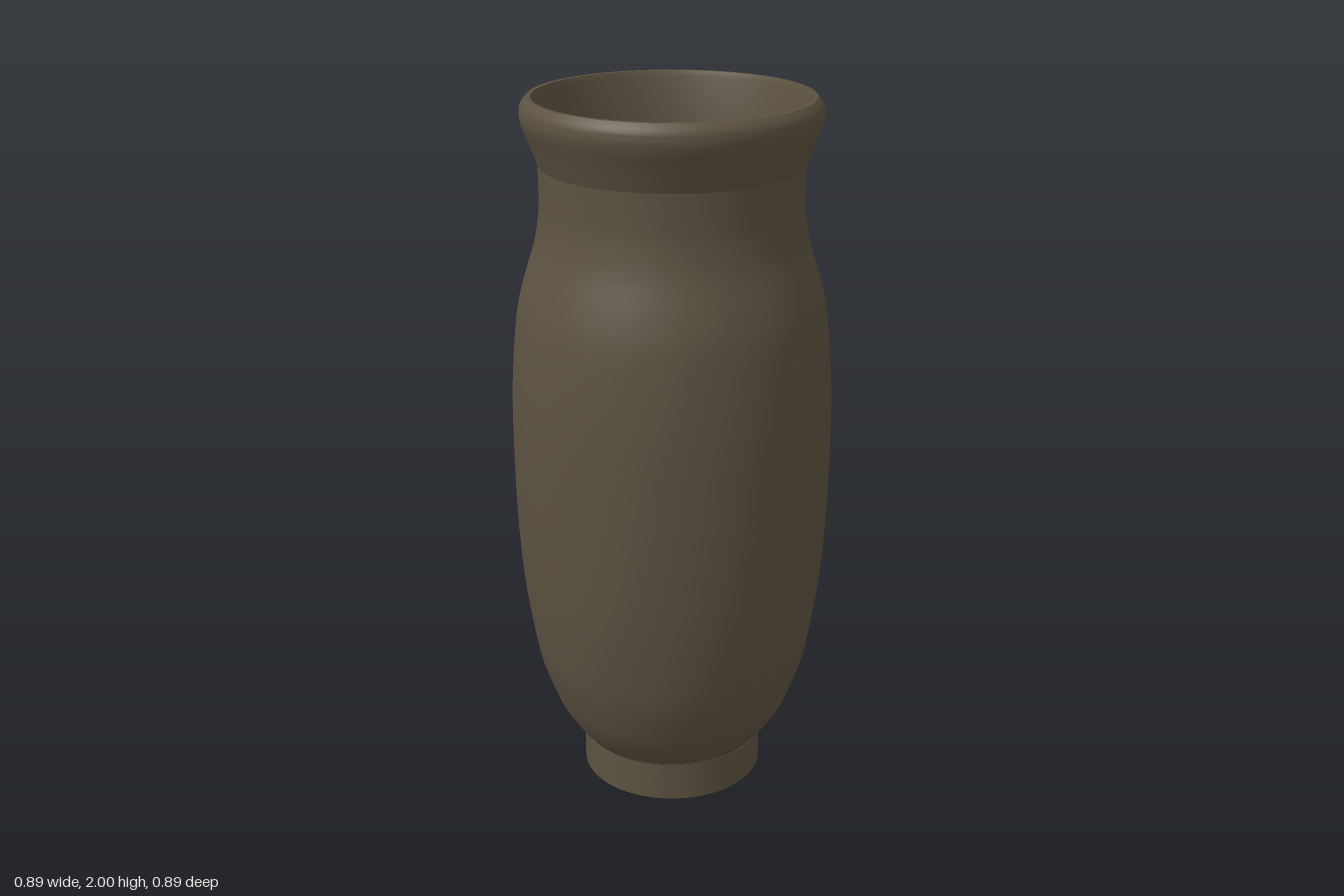
import * as THREE from 'three';
import { toCreasedNormals } from 'three/addons/utils/BufferGeometryUtils.js';

const SEGMENTS = 72;
const v = ([r, y]) => new THREE.Vector2(r, y);
const smooth = (pts, n) => new THREE.SplineCurve(pts.map(v)).getPoints(n);

export function createModel() {
  const group = new THREE.Group();
  group.name = 'vase';
  const material = new THREE.MeshStandardMaterial({ color: 0x5c5240 });

  // Revolve a profile; bottom-to-top faces outward, top-to-bottom faces inward
  const addLathe = (name, points) => {
    const geometry = toCreasedNormals(new THREE.LatheGeometry(points, SEGMENTS), 0.5);
    const mesh = new THREE.Mesh(geometry, material);
    mesh.name = name;
    group.add(mesh);
  };

  const belly = [
    [0.26, 0.11], [0.325, 0.2], [0.367, 0.3], [0.396, 0.4], [0.427, 0.6], [0.442, 0.8], [0.447, 1.0],
    [0.445, 1.2], [0.428, 1.4], [0.406, 1.5], [0.375, 1.6], [0.362, 1.67], [0.358, 1.72], [0.358, 1.82],
  ];
  const wall = 0.008;

  // Foot: straight ring with a closed underside
  addLathe('foot', [[0, 0], [0.262, 0], [0.262, 0.115]].map(v));

  // Belly and neck
  addLathe('body', smooth(belly, 40));

  // Flared lip with a rounded top edge
  addLathe('rim', [
    ...smooth([[0.358, 1.82], [0.38, 1.88], [0.398, 1.925], [0.404, 1.955], [0.4, 1.98], [0.384, 2.0]], 14),
    v([0.372, 2.0]),
    v([0.366, 1.985]),
    v([0.35, 1.82]),
  ]);

  // Hollow interior, following the outside at a thin wall
  const inside = belly.slice(1).map(([r, y]) => [r - wall, y]).reverse();
  addLathe('interior', smooth([...inside, [0.263, 0.118]], 40));
  addLathe('floor', [[0.268, 0.118], [0, 0.118]].map(v));

  return group;
}
